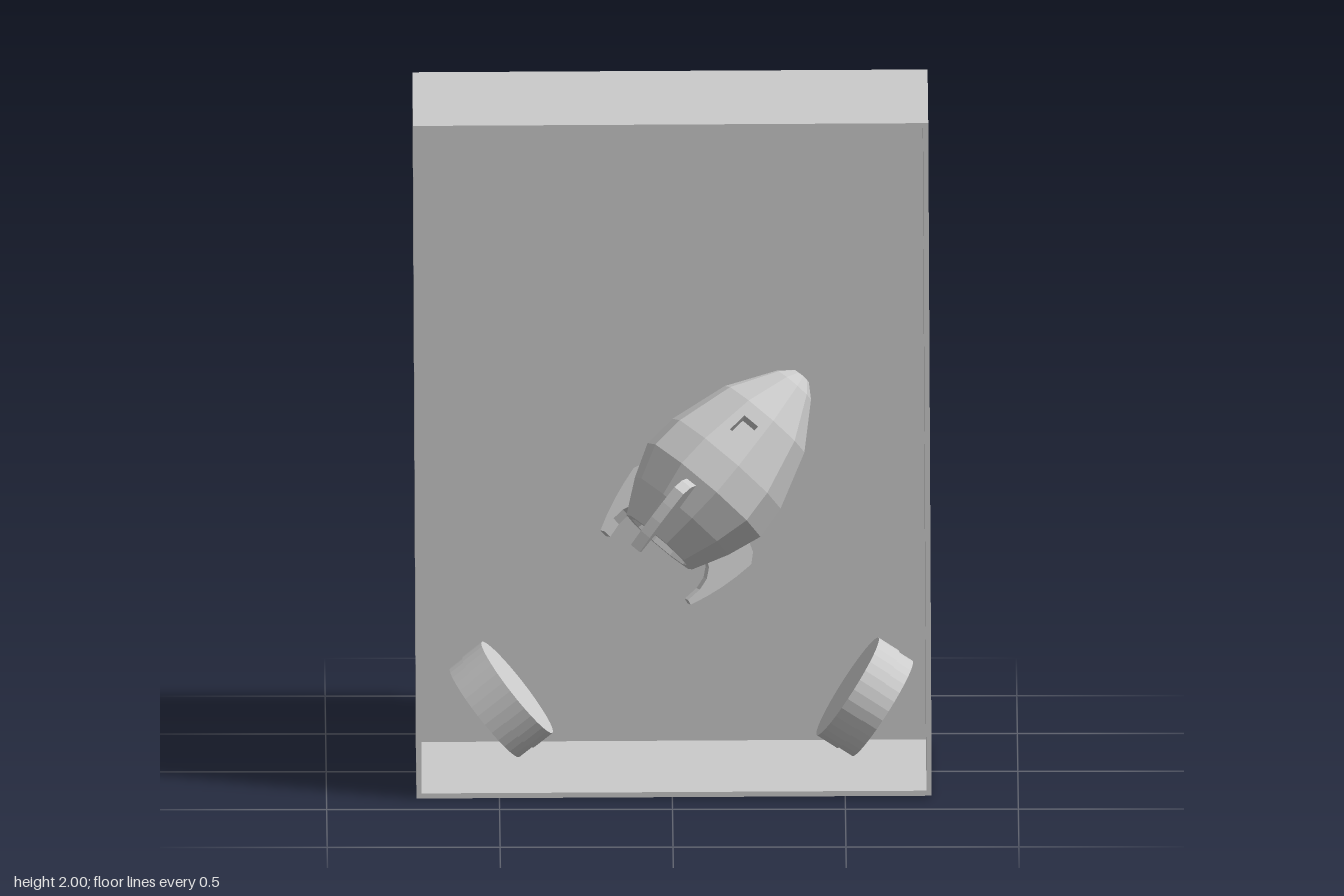
import * as THREE from 'three';

const grey = new THREE.MeshStandardMaterial({ color: 0xcccccc, side: THREE.DoubleSide });
const flat = new THREE.MeshStandardMaterial({ color: 0xcccccc, side: THREE.DoubleSide, flatShading: true });

function add(parent, geometry, name, material = grey) {
  const mesh = new THREE.Mesh(geometry, material);
  mesh.name = name;
  parent.add(mesh);
  return mesh;
}

// Faceted surface from a list of four-cornered faces
function quadGeometry(quads) {
  const points = quads.flatMap(([a, b, c, d]) => [a, b, c, a, c, d]);
  const geometry = new THREE.BufferGeometry().setFromPoints(points);
  geometry.computeVertexNormals();
  return geometry;
}

// Faces joining two closed loops of equal length
const band = (lo, hi) => lo.map((p, i) => {
  const n = (i + 1) % lo.length;
  return [p, lo[n], hi[n], hi[i]];
});

// Open-backed case: outer walls, thin front rim, inner walls and a back panel
function makeCase() {
  const rect = (w, h, z) => [[-1, -1], [1, -1], [1, 1], [-1, 1]]
    .map(([x, y]) => new THREE.Vector3(x * w / 2, y * h / 2, z));
  const loops = [
    rect(1.49, 1.993, -0.355), rect(1.49, 1.993, 0.355),
    rect(1.46, 1.963, 0.355), rect(1.46, 1.963, -0.325),
  ];
  const quads = [loops[3]];
  for (let i = 0; i < 3; i++) quads.push(...band(loops[i], loops[i + 1]));
  return quadGeometry(quads);
}

// Ten-sided hull with a hollow tail and one recessed square window
function makeHull() {
  const profile = [
    [0.05, 0.001], [0.05, 0.095], [0, 0.105], [0, 0.125], [0.1, 0.178], [0.2, 0.215],
    [0.3, 0.206], [0.47, 0.152], [0.6, 0.066], [0.635, 0.028], [0.638, 0.001],
  ];
  const sides = 10;
  const rings = profile.map(([y, r]) => Array.from({ length: sides }, (_, i) => {
    const t = i / sides * Math.PI * 2;
    return new THREE.Vector3(r * Math.sin(t), y, r * Math.cos(t));
  }));
  const quads = [];
  for (let j = 0; j < rings.length - 1; j++) {
    band(rings[j], rings[j + 1]).forEach((q, i) => {
      if (j !== 6 || i !== sides - 1) return quads.push(q);
      // window facet: frame, recess walls and recess floor
      const [a, b, c, d] = q;
      const at = (u, v) => a.clone().lerp(b, u).lerp(d.clone().lerp(c, u), v);
      const hole = [at(0.25, 0.4), at(0.75, 0.4), at(0.75, 0.75), at(0.25, 0.75)];
      const inward = b.clone().sub(a).cross(d.clone().sub(a)).normalize().multiplyScalar(-0.04);
      const floor = hole.map(p => p.clone().add(inward));
      quads.push(...band(q, hole), ...band(hole, floor), floor);
    });
  }
  return quadGeometry(quads);
}

// Swept-back fin, drawn as radius against height
function makeFin() {
  const s = new THREE.Shape();
  s.moveTo(0.17, 0.19);
  s.lineTo(0.23, 0.16);
  s.lineTo(0.25, 0.13);
  s.quadraticCurveTo(0.235, 0.02, 0.19, -0.075);
  s.lineTo(0.175, -0.07);
  s.quadraticCurveTo(0.2, 0.03, 0.13, 0.06);
  s.closePath();
  const g = new THREE.ExtrudeGeometry(s, { depth: 0.034, bevelEnabled: false, curveSegments: 4 });
  return g.translate(0, 0, -0.017);
}

function makeRocket() {
  const rocket = new THREE.Group();
  rocket.name = 'rocket';
  add(rocket, makeHull(), 'hull', flat);
  const fin = makeFin();
  for (const angle of [-21, 99, 219]) {
    // the fin profile points along +x; angles count from the front (+z)
    add(rocket, fin, 'fin', flat).rotation.y = THREE.MathUtils.degToRad(angle - 90);
  }
  rocket.position.set(-0.037, 0.695, 0.07);
  rocket.rotation.set(-0.25, 0, THREE.MathUtils.degToRad(-42), 'ZYX');
  return rocket;
}

// Round spotlight: housing and lens ring, axis tilted in the xy plane
function makeSpotlight(name, x, y, tilt) {
  const light = new THREE.Group();
  light.name = name;
  add(light, new THREE.CylinderGeometry(0.163, 0.163, 0.05, 32), 'housing', flat).position.y = -0.035;
  add(light, new THREE.CylinderGeometry(0.167, 0.167, 0.07, 32), 'lens', flat).position.y = 0.025;
  light.position.set(x, y, 0.07);
  light.rotation.z = THREE.MathUtils.degToRad(tilt);
  return light;
}

export function createModel() {
  const model = new THREE.Group();
  model.name = 'displayBox';

  const box = add(model, makeCase(), 'case', flat);
  box.position.y = 1;
  box.rotation.z = 0.005;

  // Flat discs on the front plane and in front of the back panel
  add(model, new THREE.CircleGeometry(0.15, 48), 'frontDisc').position.set(-0.51, 1.75, 0.35);
  add(model, new THREE.CircleGeometry(0.352, 64), 'backDisc').position.set(0.09, 1.01, -0.31);

  model.add(makeRocket());
  model.add(makeSpotlight('rightSpotlight', -0.495, 0.228, -51.5));
  model.add(makeSpotlight('leftSpotlight', 0.558, 0.235, 57));
  return model;
}
